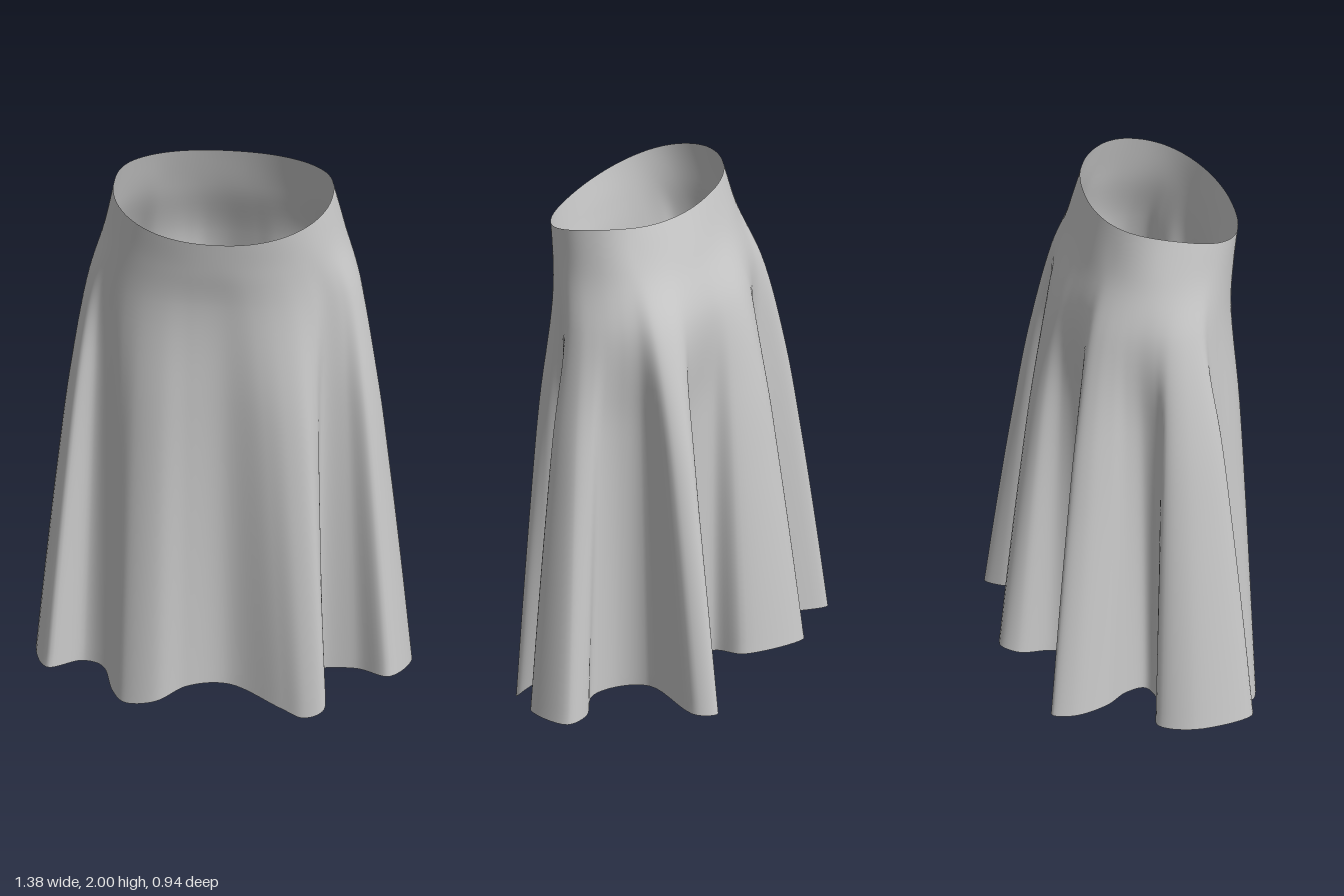
import * as THREE from 'three';

// Each fold: hip angle where it starts (degrees, 0 = front, 90 = +x),
// height of its hem at the middle, and its hem outline [x, z].
const FOLDS = [
  { start: 2, tip: 0, hem: [[0.05, 0.37], [0.25, 0.44], [0.34, 0.465], [0.41, 0.44], [0.4, 0.36]] },
  { start: 53, tip: 0.1, hem: [[0.36, 0.25], [0.5, 0.23], [0.63, 0.28], [0.69, 0.1], [0.61, 0.06], [0.5, 0.09]] },
  { start: 106, tip: 0.16, hem: [[0.4, 0.03], [0.37, -0.08], [0.52, -0.34], [0.48, -0.41], [0.42, -0.36], [0.35, -0.2]] },
  { start: 157, tip: 0.22, hem: [[0.25, -0.15], [0.09, -0.2], [0.09, -0.33], [-0.12, -0.47], [-0.17, -0.41], [-0.14, -0.27]] },
  { start: 207, tip: 0.14, hem: [[-0.2, -0.17], [-0.35, -0.19], [-0.55, -0.36], [-0.575, -0.28], [-0.53, -0.15], [-0.45, -0.06]] },
  { start: 256, tip: 0.1, hem: [[-0.42, 0.02], [-0.49, 0.055], [-0.63, 0.02], [-0.69, 0.15], [-0.62, 0.38], [-0.5, 0.3]] },
  { start: 309, tip: 0.01, hem: [[-0.42, 0.33], [-0.38, 0.39], [-0.33, 0.44], [-0.21, 0.46], [-0.1, 0.41]] },
];

// Superellipse outline point at an angle
function oval(angle, rx, rz, cz) {
  const round = (v) => Math.sign(v) * Math.abs(v) ** 0.9;
  return new THREE.Vector3(rx * round(Math.sin(angle)), 0, cz + rz * round(Math.cos(angle)));
}

// Curve running from the waist over the hip down to one hem point
function drapeCurve(angle, hem) {
  const waist = oval(angle, 0.405, 0.28, 0.15);
  waist.y = 2 - 0.12 * (Math.max(0, waist.z) / 0.43) ** 1.8;
  const hip = oval(angle, 0.49, 0.315, 0.075);
  hip.y = 1.6;
  const points = [waist, waist.clone().lerp(hip, 0.45)];
  for (let t = 0; t <= 1; t += 0.25) {
    const p = hip.clone().lerp(hem, 0.1 + 0.9 * t ** 0.75);
    p.y = THREE.MathUtils.lerp(hip.y, hem.y, t);
    points.push(p);
  }
  return new THREE.CatmullRomCurve3(points, false, 'centripetal');
}

export function createModel() {
  const ROWS = 40, COLS = 300;

  // Vertical drapes, with the hem lower at the front than at the back
  const drapes = [];
  FOLDS.forEach(({ start, tip, hem }, f) => {
    const end = f + 1 < FOLDS.length ? FOLDS[f + 1].start : FOLDS[0].start + 360;
    hem.forEach(([x, z], i) => {
      const angle = THREE.MathUtils.degToRad(THREE.MathUtils.lerp(start, end, i / hem.length));
      const valley = 0.13 - 0.055 * Math.cos(angle);
      const y = THREE.MathUtils.lerp(valley, tip, Math.sin(Math.PI * i / (hem.length - 1)));
      const curve = drapeCurve(angle, new THREE.Vector3(x, y, z));
      drapes.push(curve.getPoints(ROWS));
    });
  });

  // Closed ring through all drapes at each height
  const positions = [], indices = [];
  for (let r = 0; r <= ROWS; r++) {
    const ring = new THREE.CatmullRomCurve3(drapes.map((d) => d[r]), true, 'centripetal');
    for (let c = 0; c < COLS; c++) {
      positions.push(...ring.getPoint(c / COLS).toArray());
      if (r === ROWS) continue;
      const a = r * COLS + c, b = r * COLS + (c + 1) % COLS;
      indices.push(a, a + COLS, b, b, a + COLS, b + COLS);
    }
  }
  const geometry = new THREE.BufferGeometry();
  geometry.setAttribute('position', new THREE.Float32BufferAttribute(positions, 3));
  geometry.setIndex(indices);
  geometry.computeVertexNormals();

  const cloth = new THREE.MeshStandardMaterial({ color: 0xcccccc, side: THREE.DoubleSide });
  const skirt = new THREE.Mesh(geometry, cloth);
  skirt.name = 'skirt';
  const group = new THREE.Group();
  group.name = 'drapedSkirt';
  group.add(skirt);
  return group;
}
